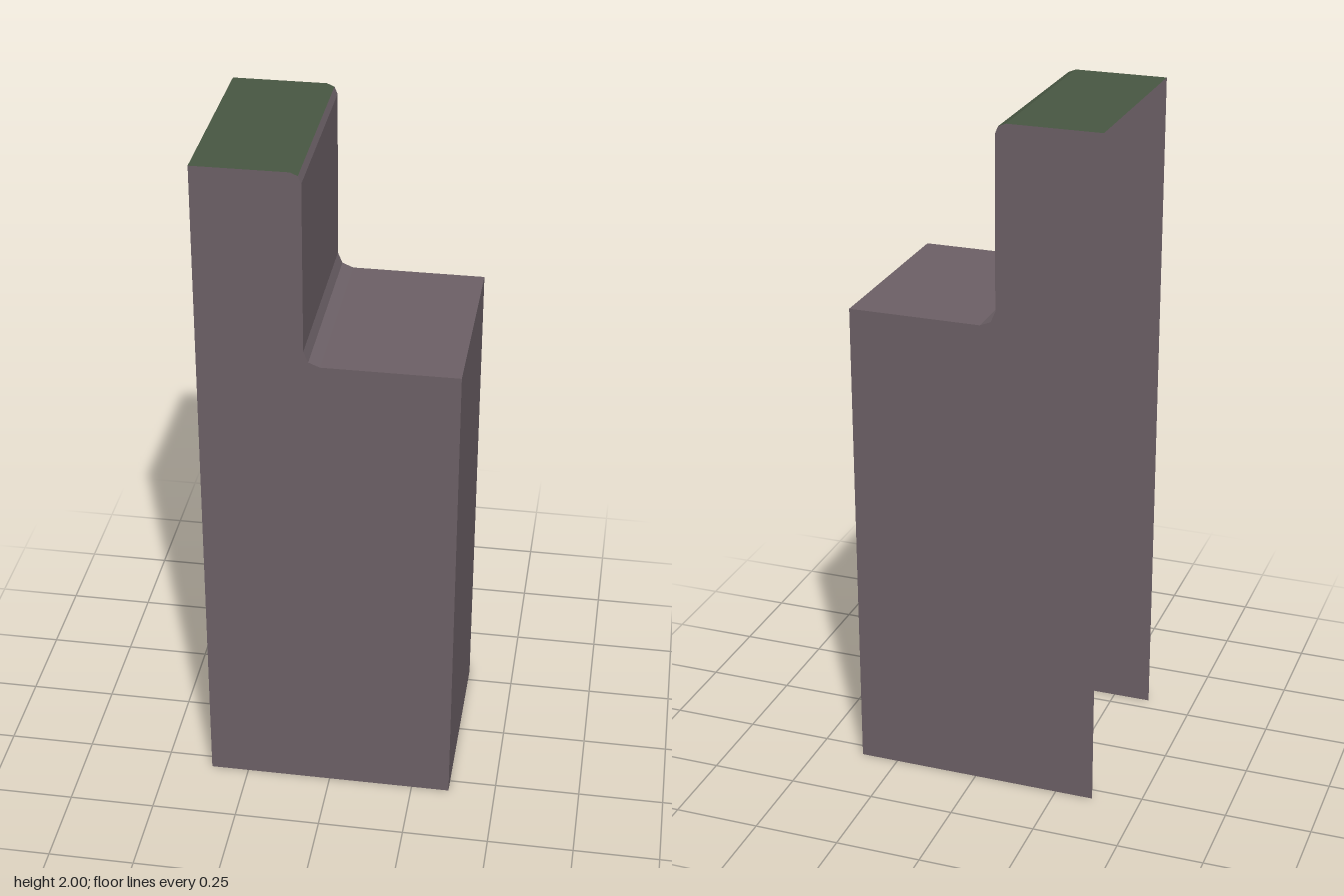
import * as THREE from 'three';

const X = 0.362, Z = 0.295, TOP = 2, STEP = 1.432, RISER = -0.066;

// Two-segment arc: start, middle and end points
function arc(cx, cy, r, from, to) {
  return [0, 0.5, 1].map((t) => {
    const a = THREE.MathUtils.lerp(from, to, t);
    return new THREE.Vector2(cx + r * Math.cos(a), cy + r * Math.sin(a));
  });
}

// Flat-shaded sheet sweeping a profile from front to back
function sheet(points) {
  const pos = [];
  for (let i = 0; i < points.length - 1; i++) {
    const a = points[i], b = points[i + 1];
    pos.push(a.x, a.y, Z, b.x, b.y, Z, b.x, b.y, -Z);
    pos.push(a.x, a.y, Z, b.x, b.y, -Z, a.x, a.y, -Z);
  }
  const g = new THREE.BufferGeometry();
  g.setAttribute('position', new THREE.Float32BufferAttribute(pos, 3));
  g.computeVertexNormals();
  return g;
}

export function createModel() {
  const model = new THREE.Group();
  model.name = 'steppedShell';
  const side = THREE.DoubleSide;
  const mauve = new THREE.MeshStandardMaterial({ color: 0x6c6066, side });
  mauve.name = 'mauveGrey';
  const green = new THREE.MeshStandardMaterial({ color: 0x485742, side });
  green.name = 'mossGreen';

  const add = (name, geometry, material) => {
    const mesh = new THREE.Mesh(geometry, material);
    mesh.name = name;
    model.add(mesh);
  };

  // Rounded top edge and the fillet at the foot of the riser
  const edge = arc(RISER - 0.03, TOP - 0.03, 0.03, Math.PI / 2, 0);
  const fillet = arc(RISER + 0.045, STEP + 0.045, 0.045, Math.PI, Math.PI * 1.5);
  const topLeft = new THREE.Vector2(-X, TOP);
  const stepEnd = new THREE.Vector2(X, STEP);
  const foot = new THREE.Vector2(X, 0);

  // Green cap, then riser, step and outer wall; the -x side and base stay open
  add('topCap', sheet([topLeft, edge[0], edge[1]]), green);
  add('riser', sheet([edge[1], edge[2], ...fillet]), mauve);
  add('stepTop', sheet([fillet[2], stepEnd]), mauve);
  add('sideWall', sheet([stepEnd, foot]), mauve);

  // Front and back panels share the stepped outline
  const outline = [new THREE.Vector2(-X, 0), foot, stepEnd,
    ...[...fillet].reverse(), ...[...edge].reverse(), topLeft];
  const front = new THREE.ShapeGeometry(new THREE.Shape(outline));
  front.translate(0, 0, Z);
  add('frontPanel', front, mauve);

  const mirrored = outline.map((p) => new THREE.Vector2(-p.x, p.y));
  const back = new THREE.ShapeGeometry(new THREE.Shape(mirrored));
  back.rotateY(Math.PI).translate(0, 0, -Z);
  add('backPanel', back, mauve);

  return model;
}
